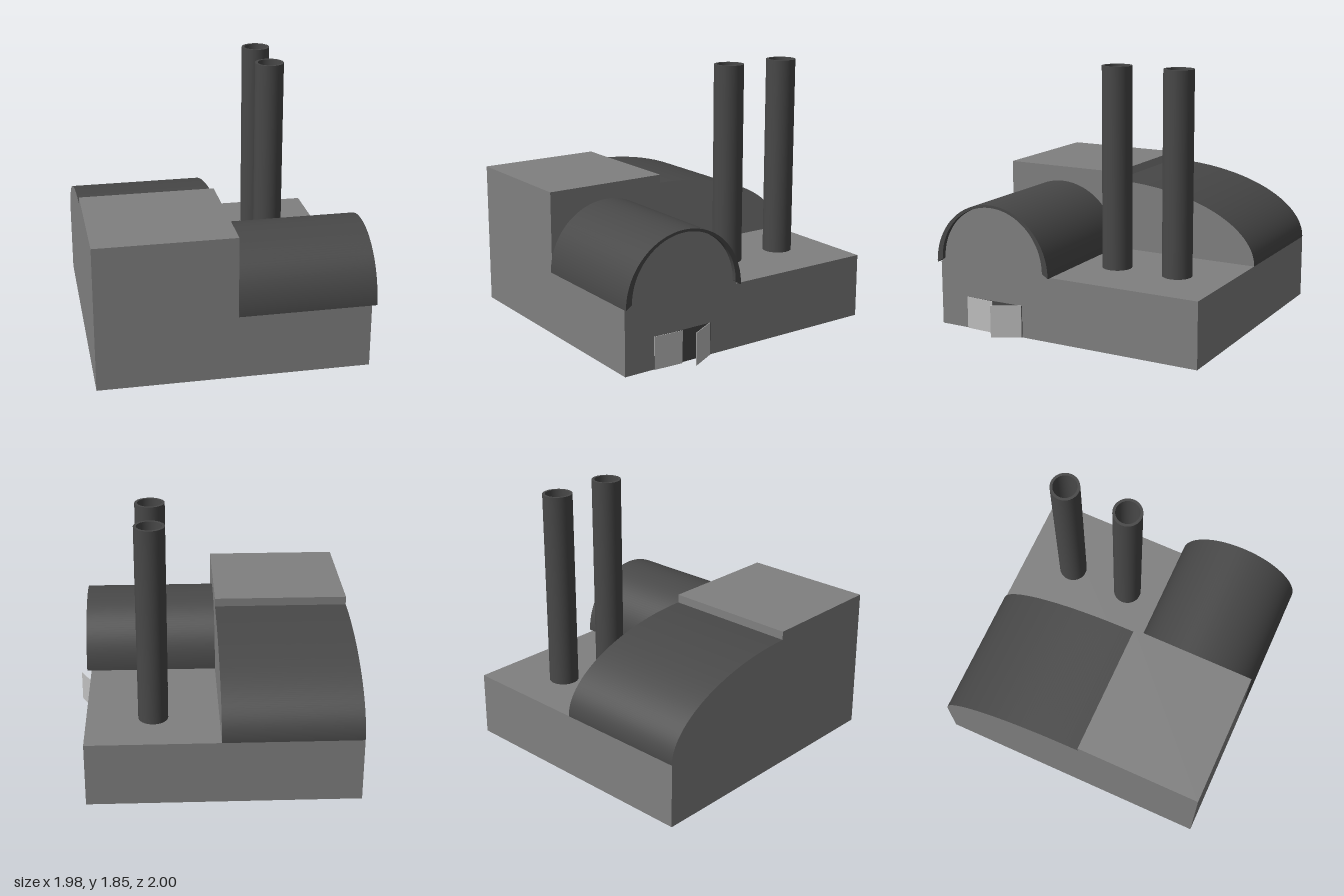
import * as THREE from 'three';
import { toCreasedNormals } from 'three/addons/utils/BufferGeometryUtils.js';

const wall = new THREE.MeshStandardMaterial({ color: 0x808080 });
wall.name = 'wallGrey';
const dark = new THREE.MeshStandardMaterial({ color: 0x484848 });
dark.name = 'roofDark';
const light = new THREE.MeshStandardMaterial({ color: 0xc0c0c0 });
light.name = 'doorLight';

const BASE_H = 0.455, SPLIT = -0.035, LEFT = -0.99, RIGHT = 0.88;

export function createModel() {
  const model = new THREE.Group();
  model.name = 'factory';

  const add = (name, geometry, material) => {
    const mesh = new THREE.Mesh(geometry, material);
    mesh.name = name;
    model.add(mesh);
    return mesh;
  };
  // box given by its limits on each axis
  const block = (name, [x0, x1], [y0, y1], [z0, z1], material) =>
    add(name, new THREE.BoxGeometry(x1 - x0, y1 - y0, z1 - z0), material)
      .position.set((x0 + x1) / 2, (y0 + y1) / 2, (z0 + z1) / 2);
  // profile drawn in (-z, y), extruded along x
  const profile = (name, shape, x0, x1, z, material) => {
    const g = new THREE.ExtrudeGeometry(shape, { depth: x1 - x0, bevelEnabled: false, curveSegments: 40 });
    g.rotateY(Math.PI / 2);
    add(name, toCreasedNormals(g, 0.5), material).position.set(x0, BASE_H, z);
  };

  // main masses
  block('base', [LEFT, RIGHT], [0, BASE_H], [-1, 0.99], wall);
  block('tallBlock', [LEFT, SPLIT], [BASE_H, 1.02], [0.09, 0.99], wall);

  // quarter vault behind the tall block
  const quarter = new THREE.Shape();
  quarter.moveTo(0, 0);
  quarter.lineTo(1.09, 0);
  quarter.absellipse(0, 0, 1.09, 0.505, 0, Math.PI / 2, false);
  quarter.lineTo(0, 0);
  profile('quarterVault', quarter, LEFT, SPLIT, 0.09, [wall, dark]);

  // barrel hall with its overhanging roof shell
  const hall = new THREE.Shape();
  hall.moveTo(0.44, 0);
  hall.absellipse(0, 0, 0.44, 0.445, 0, Math.PI, false);
  hall.lineTo(0.44, 0);
  profile('barrelHall', hall, SPLIT, RIGHT, 0.545, wall);

  const shell = new THREE.Shape();
  shell.moveTo(0.455, 0);
  shell.absarc(0, 0, 0.455, 0, Math.PI, false);
  shell.lineTo(-0.41, 0.03);
  shell.absellipse(0, 0.03, 0.41, 0.407, Math.PI, 0, true);
  shell.lineTo(0.455, 0);
  profile('barrelRoof', shell, SPLIT, 0.912, 0.545, dark);

  // hollow chimneys
  const tube = [[0, 0.47], [0.084, 0.47], [0.084, 1.85], [0.103, 1.85], [0.103, 0.45]]
    .map(([r, y]) => new THREE.Vector2(r, y)).reverse();
  for (const z of [-0.17, -0.63]) {
    const g = toCreasedNormals(new THREE.LatheGeometry(tube, 40), 0.6);
    add('chimney', g, dark).position.set(0.42, 0, z);
  }

  // doorway and its two open leaves
  block('doorway', [RIGHT, RIGHT + 0.003], [0, 0.225], [0.32, 0.77], dark);
  const leaf = (name, x0, z0, x1, z1) => {
    const g = new THREE.BoxGeometry(0.004, 0.227, Math.hypot(x1 - x0, z1 - z0));
    const door = add(name, g, light);
    door.position.set((x0 + x1) / 2, 0.1135, (z0 + z1) / 2);
    door.rotation.y = Math.atan2(x1 - x0, z1 - z0);
  };
  leaf('leftDoor', 0.886, 0.77, 0.896, 0.555);
  leaf('rightDoor', 0.884, 0.325, 0.985, 0.51);

  return model;
}
